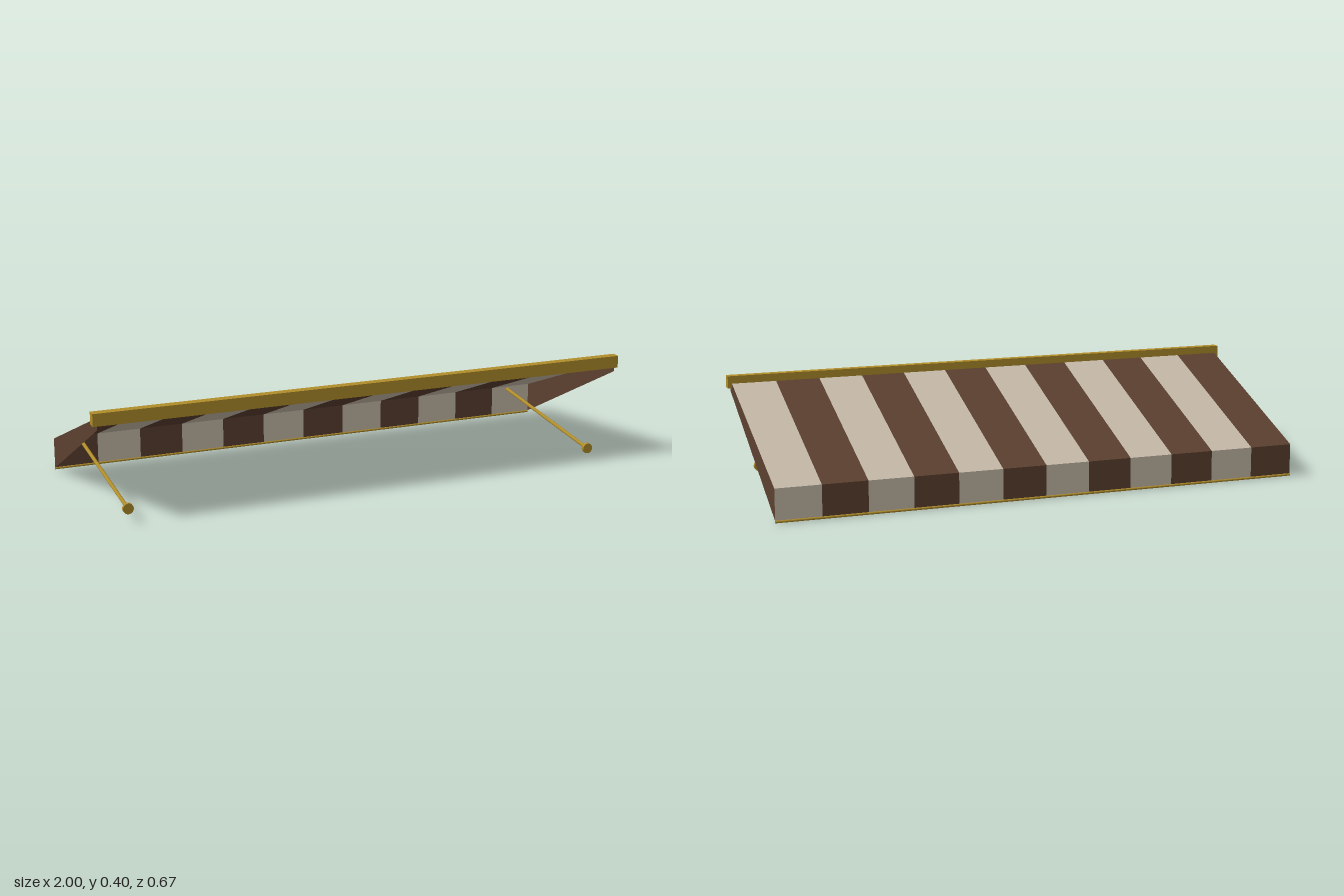
import * as THREE from 'three';

const mat = (color, extra = {}) => new THREE.MeshStandardMaterial({ color, ...extra });
const gold = mat(0xb08d2a);
const brown = mat(0x5c4030, { side: THREE.DoubleSide, flatShading: true });
const cream = mat(0xc8bcaa, { side: THREE.DoubleSide, flatShading: true });

// Single cloth panel from four corners, counter-clockwise seen from outside
function panel(name, a, b, c, d, material) {
  const geo = new THREE.BufferGeometry();
  geo.setAttribute('position', new THREE.Float32BufferAttribute([a, b, c, d].flat(), 3));
  geo.setIndex([0, 1, 2, 0, 2, 3]);
  geo.computeVertexNormals();
  const mesh = new THREE.Mesh(geo, material);
  mesh.name = name;
  return mesh;
}

// Round bar between two points
function rod(name, from, to, radius, sides = 16) {
  const a = new THREE.Vector3(...from), b = new THREE.Vector3(...to);
  const dir = b.clone().sub(a);
  const mesh = new THREE.Mesh(new THREE.CylinderGeometry(radius, radius, dir.length(), sides), gold);
  mesh.position.copy(a).add(b).multiplyScalar(0.5);
  mesh.quaternion.setFromUnitVectors(new THREE.Vector3(0, 1, 0), dir.normalize());
  mesh.name = name;
  return mesh;
}

export function createModel() {
  const model = new THREE.Group();
  model.name = 'awning';

  const half = 0.985, stripes = 12, w = (2 * half) / stripes;
  const zWall = 0.332, zEdge = -0.327;
  const yWall = 0.385, yEdge = 0.12, yHem = 0.007, ySide = 0.342;

  // Striped canopy and hanging valance
  const canopy = new THREE.Group();
  canopy.name = 'canopy';
  const valance = new THREE.Group();
  valance.name = 'valance';
  for (let i = 0; i < stripes; i++) {
    const x0 = -half + i * w, x1 = x0 + w, m = i % 2 ? cream : brown;
    canopy.add(panel('canopyStripe',
      [x0, yWall, zWall], [x1, yWall, zWall], [x1, yEdge, zEdge], [x0, yEdge, zEdge], m));
    valance.add(panel('valanceStripe',
      [x0, yEdge, zEdge], [x1, yEdge, zEdge], [x1, yHem, zEdge], [x0, yHem, zEdge], m));
  }
  model.add(canopy, valance);

  // Wall rail
  const rail = new THREE.Mesh(new THREE.BoxGeometry(2, 0.045, 0.033), gold);
  rail.position.set(0, 0.3775, 0.3165);
  rail.name = 'wallRail';
  model.add(rail);

  // Hem bar along the bottom of the valance
  model.add(rod('hemBar', [-half, 0.0045, -0.3285], [half, 0.0045, -0.3285], 0.0045));

  for (const s of [-1, 1]) {
    // Side cloth
    const corners = [
      [s * half, yWall, zWall], [s * half, yEdge, zEdge],
      [s * half, yHem, zEdge], [s * half, ySide, zWall]];
    if (s > 0) corners.reverse();
    model.add(panel(s > 0 ? 'leftSideCloth' : 'rightSideCloth', ...corners, brown));

    // Support arm with its round wall plate
    const x = s * 0.888;
    model.add(rod('supportArm', [x, 0.052, 0.325], [x, 0.109, -0.325], 0.0066));
    model.add(rod('wallPlate', [x, 0.052, 0.32], [x, 0.052, 0.332], 0.019, 24));
  }
  return model;
}
